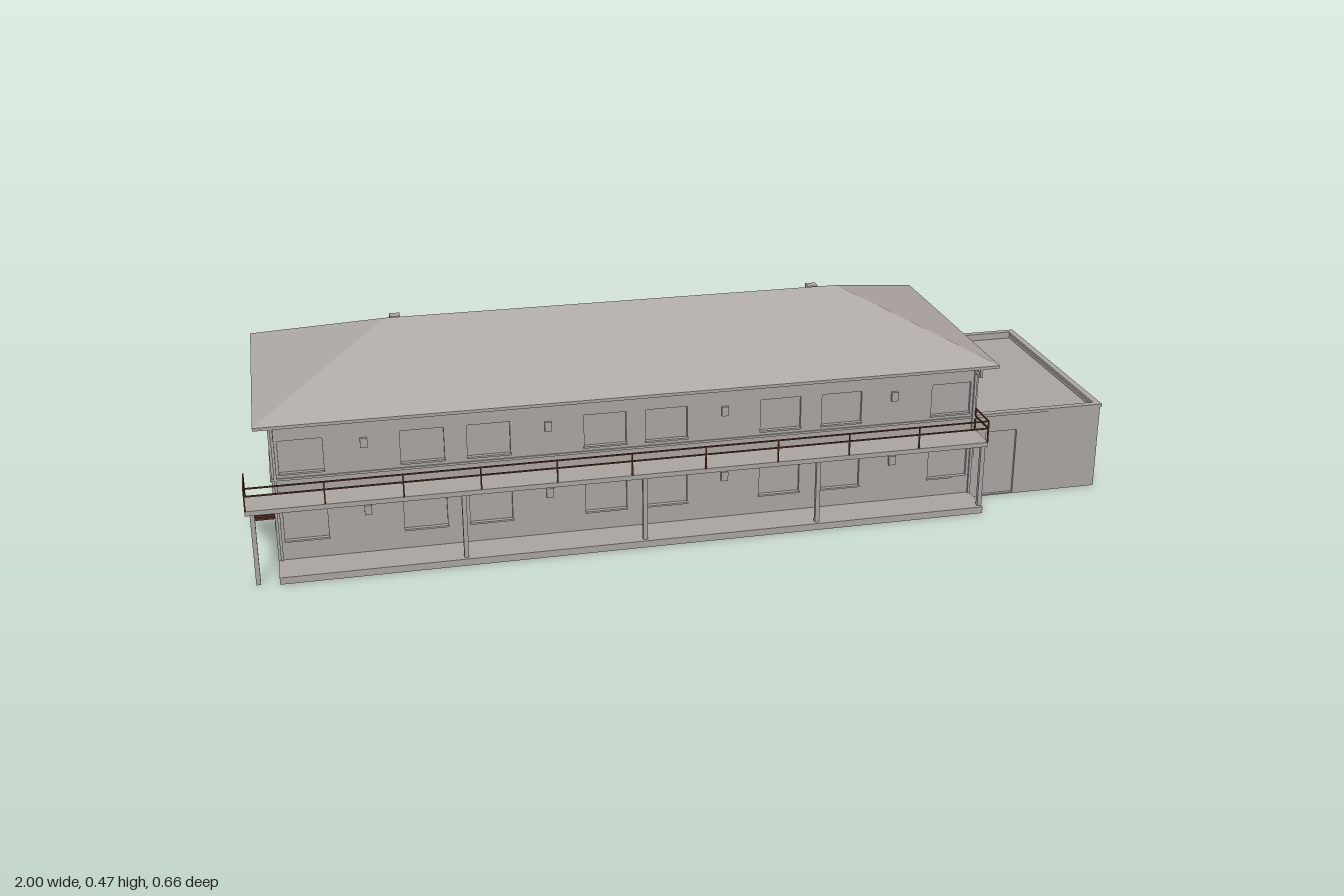
import * as THREE from 'three';

const wallMat = new THREE.MeshStandardMaterial({ color: 0xaba6a2, side: THREE.DoubleSide });
wallMat.name = 'warm grey';
const roofMat = new THREE.MeshStandardMaterial({ color: 0xb0a9a6, side: THREE.DoubleSide });
roofMat.name = 'roof grey';
const rustMat = new THREE.MeshStandardMaterial({ color: 0x5a3024 });
rustMat.name = 'rust brown';

export function createModel() {
  const model = new THREE.Group();
  model.name = 'apartmentBlock';

  // Box given by its minimum and maximum on each axis
  function box(name, x0, x1, y0, y1, z0, z1, mat = wallMat, parent = model) {
    const m = new THREE.Mesh(new THREE.BoxGeometry(x1 - x0, y1 - y0, z1 - z0), mat);
    m.position.set((x0 + x1) / 2, (y0 + y1) / 2, (z0 + z1) / 2);
    m.name = name;
    parent.add(m);
    return m;
  }

  // Wall with recessed windows; local x runs along the wall, local +z is outside
  // openings: [centre, bottom, width, height, hasSill]
  function wall(name, x0, x1, height, openings, place) {
    const g = new THREE.Group();
    g.name = name;
    const t = 0.01;
    const s = new THREE.Shape();
    s.moveTo(x0, 0).lineTo(x1, 0).lineTo(x1, height).lineTo(x0, height).closePath();
    for (const [c, b, w, h, sill] of openings) {
      const p = new THREE.Path();
      p.moveTo(c - w / 2, b).lineTo(c - w / 2, b + h).lineTo(c + w / 2, b + h).lineTo(c + w / 2, b).closePath();
      s.holes.push(p);
      box('windowPane', c - w / 2, c + w / 2, b, b + h, -t, -t + 0.003, wallMat, g);
      if (sill) box('windowSill', c - w / 2 - 0.002, c + w / 2 + 0.002, b - 0.004, b, -0.004, 0.003, wallMat, g);
    }
    const geo = new THREE.ExtrudeGeometry(s, { depth: t, bevelEnabled: false });
    geo.translate(0, 0, -t);
    const m = new THREE.Mesh(geo, wallMat);
    m.name = name + 'Panel';
    g.add(m);
    place(g);
    model.add(g);
  }

  const X0 = -0.94, X1 = 0.67, ZF = 0.245, ZB = -0.295, H = 0.34;
  const AX = 0.985, AF = 0.242, AB = -0.29, AH = 0.21;
  const bays = [-0.875, -0.615, -0.47, -0.21, -0.07, 0.195, 0.34, 0.605];

  // Main block walls
  wall('frontWall', X0, X1, H,
    bays.flatMap(x => [[x, 0.062, 0.095, 0.075, true], [x, 0.222, 0.095, 0.075, true]]),
    g => { g.position.z = ZF; });
  wall('backWall', -X1, -X0, H,
    bays.flatMap(x => [[-x, 0.053, 0.067, 0.076, true], [-x, 0.225, 0.067, 0.076, true]]),
    g => { g.position.z = ZB; g.rotation.y = Math.PI; });
  wall('rightWall', -ZF, -ZB, H,
    [[-0.128, 0.225, 0.067, 0.076, true], [0.173, 0.225, 0.067, 0.076, true]],
    g => { g.position.x = X1; g.rotation.y = Math.PI / 2; });
  wall('leftWall', ZB, ZF, H,
    [0.225, 0.053].flatMap(b => [[0.128, b, 0.067, 0.076, true], [-0.173, b, 0.067, 0.076, true]]),
    g => { g.position.x = X0; g.rotation.y = -Math.PI / 2; });

  // Storey band and gable vents
  const B = 0.003;
  box('frontBand', X0 - B, X1 + B, 0.206, 0.211, ZF, ZF + B);
  box('backBand', X0 - B, X1 + B, 0.206, 0.211, ZB - B, ZB);
  box('leftBand', X0 - B, X0, 0.206, 0.211, ZB, ZF);
  box('rightBand', X1, X1 + B, 0.206, 0.211, ZB, ZF);
  box('rightVent', X1, X1 + 0.004, 0.29, 0.311, -0.04, -0.005);
  box('leftVent', X0 - 0.004, X0, 0.29, 0.311, -0.04, -0.005);

  // Annex walls, sunken flat roof and parapet coping
  wall('annexFrontWall', X1, AX, AH, [[0.738, 0.003, 0.077, 0.162, false]], g => { g.position.z = AF; });
  wall('annexBackWall', -AX, -X1, AH, [[-0.78, 0.053, 0.045, 0.076, true]],
    g => { g.position.z = AB; g.rotation.y = Math.PI; });
  wall('annexRightWall', -AF, -AB, AH, [[0.023, 0.053, 0.067, 0.076, true]],
    g => { g.position.x = AX; g.rotation.y = Math.PI / 2; });
  box('annexRoof', X1, AX - 0.005, 0.188, 0.194, AB + 0.005, AF - 0.005);
  box('copingFront', X1, AX + B, 0.205, 0.212, AF - 0.013, AF + B);
  box('copingBack', X1, AX + B, 0.205, 0.212, AB - B, AB + 0.013);
  box('copingRight', AX - 0.013, AX + B, 0.205, 0.212, AB, AF);

  // Annex wall fittings
  box('meterBox', AX, AX + 0.012, 0.055, 0.078, -0.223, -0.207);
  box('conduit', AX, AX + 0.005, 0.078, 0.172, -0.217, -0.213);
  box('alarmBox', AX, AX + 0.008, 0.129, 0.145, 0.178, 0.185, rustMat);
  box('backLampArm', 0.967, 0.975, 0.189, 0.195, -0.315, AB);
  box('backVent', 0.93, 0.95, 0.1, 0.122, AB - 0.006, AB);

  // Hip roof: eaves slab, then four slopes up to the ridge
  const ex0 = -0.97, ex1 = 0.705, ez0 = -0.325, ez1 = 0.28, ey = 0.346;
  box('eaves', ex0, ex1, 0.339, ey, ez0, ez1, wallMat);
  const A = [ex0, ey, ez1], Bc = [ex1, ey, ez1], C = [ex1, ey, ez0], D = [ex0, ey, ez0];
  const R0 = [-0.665, 0.465, -0.023], R1 = [0.405, 0.465, -0.023];
  const roofGeo = new THREE.BufferGeometry();
  roofGeo.setAttribute('position', new THREE.Float32BufferAttribute(
    [A, Bc, R1, A, R1, R0, Bc, C, R1, C, D, R0, C, R0, R1, D, A, R0].flat(), 3));
  roofGeo.computeVertexNormals();
  const roof = new THREE.Mesh(roofGeo, roofMat);
  roof.name = 'hipRoof';
  model.add(roof);
  for (const x of [-0.637, 0.367]) box('roofVent', x - 0.012, x + 0.012, 0.42, 0.445, -0.111, -0.086);

  // Gutter drops and downspouts at the corners
  for (const x of [X0 + 0.008, X1 - 0.008]) {
    box('backGutterDrop', x - 0.003, x + 0.003, 0.32, H, ez0, ez0 + 0.006);
    box('backGutterElbow', x - 0.003, x + 0.003, 0.319, 0.324, ez0, ZB);
    box('backDownspout', x - 0.003, x + 0.003, 0.01, 0.324, ZB - 0.005, ZB);
    box('frontGutterDrop', x - 0.003, x + 0.003, 0.32, H, ez1 - 0.006, ez1);
    box('frontGutterElbow', x - 0.003, x + 0.003, 0.319, 0.324, ZF, ez1);
    box('frontDownspout', x - 0.003, x + 0.003, 0.016, 0.324, ZF, ZF + 0.005);
  }

  // Repeated per dwelling: cooling unit behind, wall lights in front
  for (let i = 0; i < 4; i++) {
    const u = -0.888 + i * 0.401, l = -0.74 + i * 0.402;
    box('coolingUnit', u - 0.021, u + 0.021, 0, 0.037, -0.33, -0.299);
    for (const y of [0.108, 0.268]) box('wallLight', l - 0.008, l + 0.008, y, y + 0.022, ZF, ZF + 0.007);
  }

  // Ground slab, gallery deck and posts
  box('porchSlab', X0, X1 - 0.005, 0, 0.016, ZF, 0.33);
  box('galleryDeck', -1, X1, 0.166, 0.177, ZF, 0.325);
  for (const x of [-0.985, -0.537, -0.136, 0.265, 0.66])
    box('galleryPost', x - 0.005, x + 0.005, 0, 0.168, 0.312, 0.322);

  // Gallery railing
  const r = 0.0015;
  for (const y of [0.229, 0.211]) {
    box('frontRail', -1, X1, y - r, y + r, 0.322, 0.325, rustMat);
    box('leftRail', -1, -1 + 2 * r, y - r, y + r, ZF, 0.325, rustMat);
    box('rightRail', X1 - 2 * r, X1, y - r, y + r, ZF, 0.325, rustMat);
  }
  for (let i = 0; i <= 10; i++) {
    const x = Math.max(-0.9985, 0.6685 - i * 0.1667);
    box('railPost', x - r, x + r, 0.175, 0.23, 0.322, 0.325, rustMat);
  }
  for (const x of [-0.9985, X1 - r]) box('railEndPost', x - r, x + r, 0.175, 0.23, ZF, ZF + 2 * r, rustMat);

  // Outside stair at the left end, climbing toward the front
  const n = 12;
  for (let i = 0; i < n; i++) {
    const y = 0.17 * (i + 1) / (n + 0.5), z = -0.005 + 0.25 * i / n;
    box('stairTread', -0.994, -0.944, y - 0.004, y, z, z + 0.023, rustMat);
  }
  for (const x of [-0.996, -0.943]) {
    const s = new THREE.Shape();
    s.moveTo(-0.01, 0).lineTo(0.01, 0).lineTo(0.248, 0.16).lineTo(0.248, 0.174).closePath();
    const m = new THREE.Mesh(new THREE.ExtrudeGeometry(s, { depth: 0.003, bevelEnabled: false }), rustMat);
    m.rotation.y = -Math.PI / 2;
    m.position.x = x + 0.0015;
    m.name = 'stairStringer';
    model.add(m);
  }
  return model;
}
